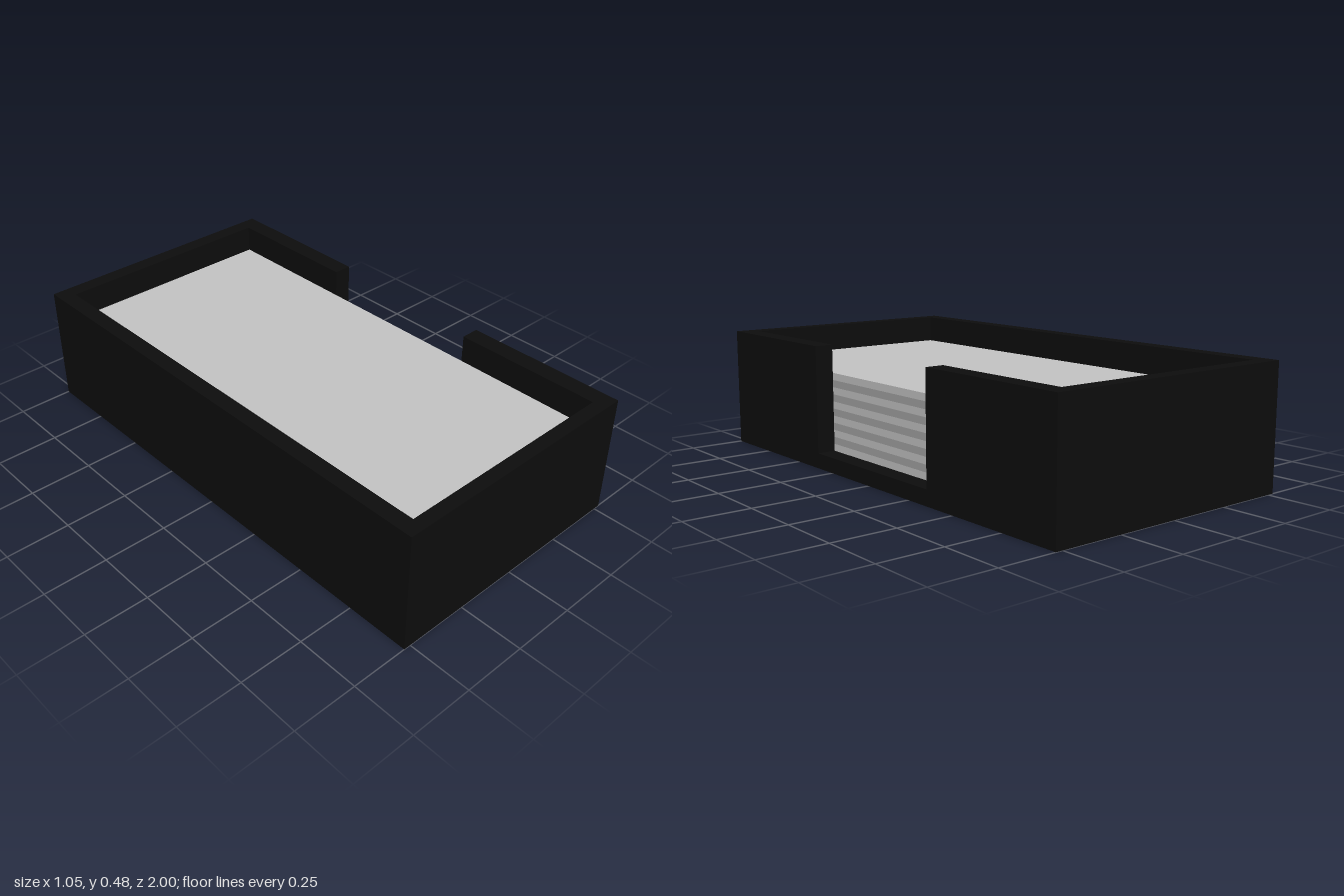
import * as THREE from 'three';

export function createModel() {
  const model = new THREE.Group();
  const black = new THREE.MeshStandardMaterial({ color: 0x0d0d0d });
  black.name = 'black tray';
  const light = new THREE.MeshStandardMaterial({ color: 0xc6c6c6 });
  light.name = 'light grey sheet';
  const dark = new THREE.MeshStandardMaterial({ color: 0xa6a6a6 });
  dark.name = 'dark grey sheet';

  const W = 0.527, L = 1, H = 0.48, floorH = 0.06;
  const inner = { x0: -0.463, x1: 0.453, z0: -0.937, z1: 0.946 };
  const notch = { z0: -0.357, z1: 0.35 };

  function addBox(name, x0, x1, y0, y1, z0, z1, material) {
    const mesh = new THREE.Mesh(new THREE.BoxGeometry(x1 - x0, y1 - y0, z1 - z0), material);
    mesh.position.set((x0 + x1) / 2, (y0 + y1) / 2, (z0 + z1) / 2);
    mesh.name = name;
    model.add(mesh);
  }

  // Tray floor
  addBox('trayFloor', -W, W, 0, floorH, -L, L, black);

  // Walls: one C-shaped outline, open at the thumb notch on the +x side
  const outline = [
    [W, notch.z0], [W, -L], [-W, -L], [-W, L], [W, L], [W, notch.z1],
    [inner.x1, notch.z1], [inner.x1, inner.z1], [inner.x0, inner.z1],
    [inner.x0, inner.z0], [inner.x1, inner.z0], [inner.x1, notch.z0],
  ].map(([x, z]) => new THREE.Vector2(x, -z));
  const wallGeometry = new THREE.ExtrudeGeometry(new THREE.Shape(outline), {
    depth: H - floorH, bevelEnabled: false,
  });
  wallGeometry.rotateX(-Math.PI / 2);
  const walls = new THREE.Mesh(wallGeometry, black);
  walls.position.y = floorH;
  walls.name = 'trayWalls';
  model.add(walls);

  // Stack of sheets in alternating greys
  const count = 11, stackTop = 0.37, step = (stackTop - floorH) / count;
  for (let i = 0; i < count; i++) {
    const y = floorH + i * step;
    addBox('sheet' + (i + 1), inner.x0, inner.x1, y, y + step, inner.z0, inner.z1,
      i % 2 ? dark : light);
  }
  return model;
}
